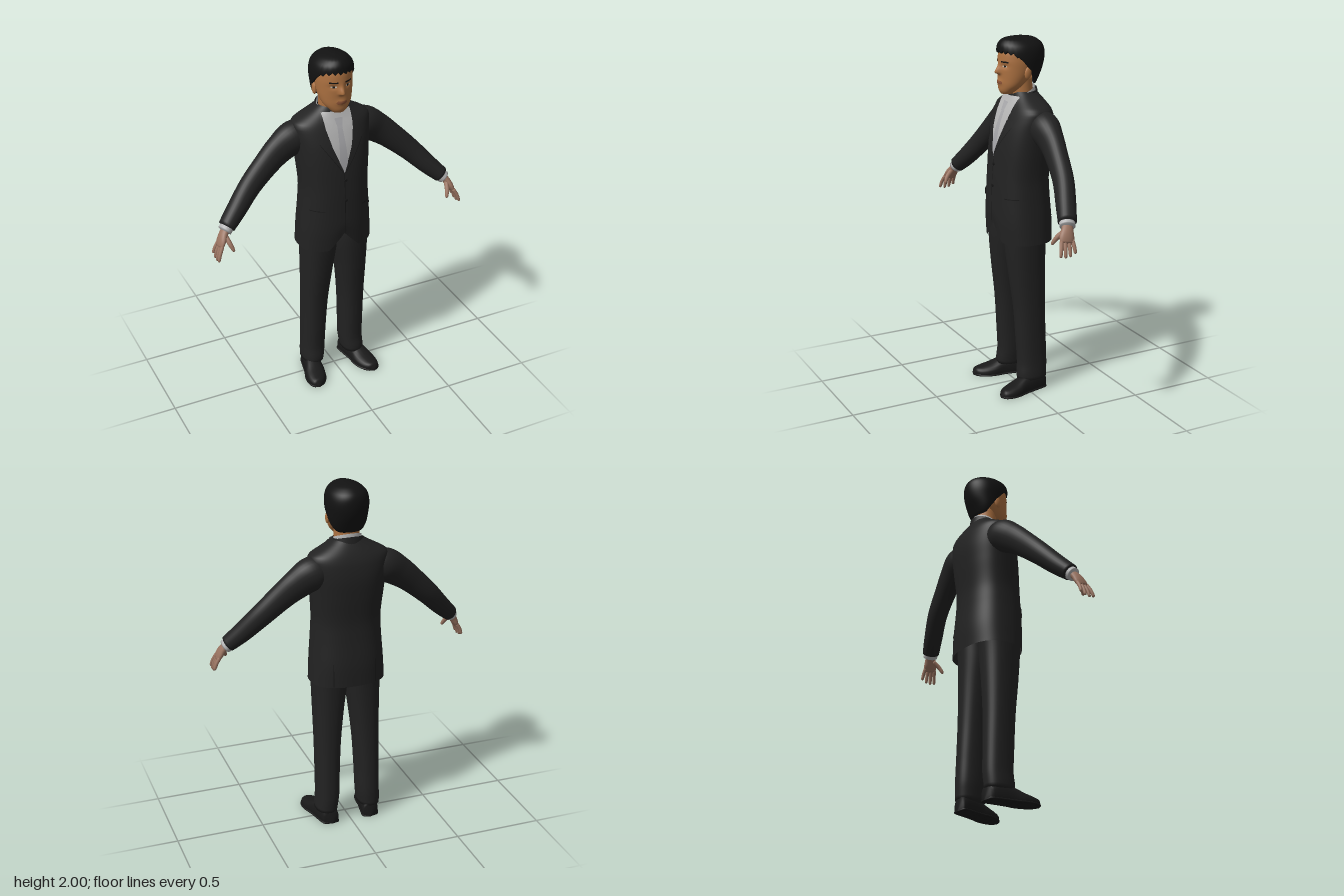
import * as THREE from 'three';

const mat = (name, color, side = THREE.FrontSide) => {
  const m = new THREE.MeshStandardMaterial({ color, side });
  m.name = name;
  return m;
};

// Smooth interpolation of rows keyed by their first number
function curve(rows) {
  const slope = (i, c) => {
    const a = rows[Math.max(i - 1, 0)], b = rows[Math.min(i + 1, rows.length - 1)];
    return (b[c] - a[c]) / (b[0] - a[0]);
  };
  return (k) => {
    let i = 0;
    while (i < rows.length - 2 && k > rows[i + 1][0]) i++;
    const p = rows[i], q = rows[i + 1], h = q[0] - p[0];
    const t = Math.min(1, Math.max(0, (k - p[0]) / h)), t2 = t * t, t3 = t2 * t;
    return p.map((v, c) => (2 * t3 - 3 * t2 + 1) * v + (t3 - 2 * t2 + t) * h * slope(i, c)
      + (3 * t2 - 2 * t3) * q[c] + (t3 - t2) * h * slope(i + 1, c));
  };
}

// Grid surface from f(u, v); u runs counter-clockwise, v runs up
function surface(nu, nv, f, wrap = false) {
  const pos = [], idx = [], cols = wrap ? nu : nu + 1;
  for (let j = 0; j <= nv; j++) for (let i = 0; i < cols; i++) pos.push(...f(i / nu, j / nv, j));
  for (let j = 0; j < nv; j++) for (let i = 0; i < nu; i++) {
    const a = j * cols + i, b = j * cols + (i + 1) % cols;
    idx.push(a, b, b + cols, a, b + cols, a + cols);
  }
  const g = new THREE.BufferGeometry();
  g.setAttribute('position', new THREE.Float32BufferAttribute(pos, 3));
  g.setIndex(idx);
  g.computeVertexNormals();
  return g;
}

function mirrored(g) {
  const m = g.clone().scale(-1, 1, 1), a = m.index.array;
  for (let i = 0; i < a.length; i += 3) [a[i], a[i + 1]] = [a[i + 1], a[i]];
  m.computeVertexNormals();
  return m;
}

const spow = (v, n) => Math.sign(v) * Math.abs(v) ** (2 / n);

// Point on a horizontal section; row = [y, halfWidth, zFront, zBack, centreX]
function ringPoint([y, hw, zf, zb, cx = 0], a, n = 2, k = 1) {
  return [cx + k * hw * spow(Math.sin(a), n), y, (zf + zb) / 2 + k * (zf - zb) / 2 * spow(Math.cos(a), n)];
}

// Upright loft, with optional closed ends and a vertex rule
function column(rows, { n = 2, nu = 40, nv = 40, cap = true, rule = (p) => p } = {}) {
  const at = curve(rows), y0 = rows[0][0], y1 = rows[rows.length - 1][0];
  return surface(nu, nv, (u, v, j) =>
    rule(ringPoint(at(y0 + (y1 - y0) * v), u * Math.PI * 2, n, cap && (j === 0 || j === nv) ? 0.01 : 1), v), true);
}

// Tube along rows [t, x, y, z, radius toward z, radius across]
function limb(rows, nu = 16, nv = 24) {
  const at = curve(rows), end = rows[rows.length - 1][0];
  const point = (t) => new THREE.Vector3(...at(t).slice(1, 4));
  return surface(nu, nv, (u, v, j) => {
    const t = v * end, r = at(t), c = point(t), k = j === 0 || j === nv ? 0.01 : 1;
    const T = point(Math.min(end, t + 0.02)).sub(point(Math.max(0, t - 0.02))).normalize();
    const N = new THREE.Vector3(0, 0, 1).addScaledVector(T, -T.z).normalize();
    const B = T.clone().cross(N), a = u * Math.PI * 2;
    return c.addScaledVector(N, k * r[4] * Math.cos(a)).addScaledVector(B, k * r[5] * Math.sin(a)).toArray();
  }, true);
}

// Thin panel lying on a body surface z(x, y), between left and right edge curves
const panel = (z, y0, y1, left, right, lift, back = false) => surface(8, 14, (u, v) => {
  const y = y0 + (y1 - y0) * v, w = back ? 1 - u : u, x = left(y) + (right(y) - left(y)) * w;
  return [x, y, z(x, y) + (back ? -lift : lift)];
});

const ramp = (...pts) => { // straight edge through [y, x] points
  return (y) => {
    let i = 0;
    while (i < pts.length - 2 && y > pts[i + 1][0]) i++;
    const [a, b] = [pts[i], pts[i + 1]];
    return a[1] + (b[1] - a[1]) * (y - a[0]) / (b[0] - a[0]);
  };
};

export function createModel() {
  const D = THREE.DoubleSide;
  const suit = mat('suit cloth', 0x222222, D), trim = mat('suit trim', 0x171717, D);
  const hairMat = mat('hair', 0x121212, D), leather = mat('shoe leather', 0x191919);
  const skin = mat('face skin', 0xab7040, D), handSkin = mat('hand skin', 0x9a7461);
  const shirt = mat('shirt', 0xb4b4b4, D), tieMat = mat('tie', 0xa6a6a9, D);
  const lipMat = mat('lips', 0x8c5336, D), eyeMat = mat('eye white', 0xbfb2a2, D);
  const model = new THREE.Group();
  const add = (name, g, m) => {
    const mesh = new THREE.Mesh(g, m);
    mesh.name = name;
    model.add(mesh);
  };
  const pair = (name, g, m) => { add(name + 'Left', g, m); add(name + 'Right', mirrored(g), m); };

  // Jacket body with a cutaway front hem
  const torso = [[0.88, 0.213, 0.138, -0.18], [1, 0.206, 0.146, -0.181], [1.15, 0.195, 0.143, -0.17],
    [1.25, 0.191, 0.138, -0.167], [1.4, 0.203, 0.124, -0.181], [1.5, 0.213, 0.105, -0.186], [1.58, 0.222, 0.077, -0.176],
    [1.62, 0.215, 0.058, -0.162], [1.65, 0.165, 0.043, -0.147], [1.68, 0.11, 0.03, -0.128], [1.705, 0.075, 0.02, -0.11]];
  add('jacketBody', column(torso, { n: 2.4, nu: 72, nv: 60, cap: false, rule: ([x, y, z], v) =>
    [x, y + (z > 0 ? 0.1 * Math.max(0, 1 - Math.abs(x) / 0.09) * Math.max(0, 1 - v * 4) : 0), z] }), suit);
  const torsoAt = curve(torso);
  const onTorso = (sign) => (x, y) => {
    const [, hw, zf, zb] = torsoAt(y);
    return (zf + zb) / 2 + sign * (zf - zb) / 2 * Math.max(0, 1 - Math.abs(x / hw) ** 2.4) ** (1 / 2.4);
  };
  const chest = onTorso(1), backZ = onTorso(-1);

  // Shirt front, tie and lapels
  const vee = ramp([1.355, 0], [1.5, 0.056], [1.6, 0.08], [1.68, 0.085]);
  add('shirtFront', panel(chest, 1.355, 1.68, (y) => -vee(y), vee, 0.004), shirt);
  const tieEdge = (y) => Math.min(vee(y), ramp([1.36, 0.027], [1.6, 0.014])(y));
  add('tieBlade', panel(chest, 1.357, 1.605, (y) => -tieEdge(y), tieEdge, 0.008), tieMat);
  const knot = ramp([1.6, 0.014], [1.65, 0.024]);
  add('tieKnot', panel(chest, 1.6, 1.65, (y) => -knot(y), knot, 0.013), tieMat);
  pair('lapel', panel(chest, 1.355, 1.565, vee, ramp([1.355, 0.004], [1.53, 0.125], [1.565, 0.118]), 0.009), suit);
  pair('upperLapel', panel(chest, 1.572, 1.685, vee, ramp([1.572, 0.12], [1.685, 0.088]), 0.009), suit);
  pair('lapelEdge', panel(chest, 1.36, 1.53, ramp([1.36, 0.006], [1.53, 0.122]), ramp([1.36, 0.01], [1.53, 0.126]), 0.01), trim);
  pair('shirtCollarPoint', panel(chest, 1.605, 1.685, ramp([1.605, 0.05], [1.665, 0.012], [1.685, 0.03]),
    ramp([1.605, 0.056], [1.685, 0.08]), 0.014), shirt);

  // Front closing, buttons, pocket flaps and rear vents
  add('frontClosing', panel(chest, 0.99, 1.355, () => -0.002, () => 0.002, 0.004), trim);
  for (const y of [1.31, 1.19]) {
    const b = new THREE.CylinderGeometry(0.008, 0.008, 0.006, 12).rotateX(Math.PI / 2);
    add('button', b.translate(0.006, y, chest(0, y) + 0.004), trim);
  }
  pair('pocketFlap', panel(chest, 1.1, 1.135, () => 0.115, () => 0.178, 0.006), suit);
  pair('pocketSeam', panel(chest, 1.135, 1.14, () => 0.113, () => 0.18, 0.006), trim);
  pair('rearVent', panel(backZ, 0.885, 1.02, () => 0.12, () => 0.124, 0.004, true), trim);

  // Standing collars around the neck
  const collar = (hw, rz, base, height, from, to) => surface(40, 4, (u, v) => {
    const a = from + (to - from) * u, k = 1 - 0.08 * v;
    return [k * hw * Math.sin(a), base - 0.03 * Math.cos(a) + height * v, -0.037 + k * rz * Math.cos(a)];
  });
  add('shirtCollar', collar(0.085, 0.076, 1.66, 0.046, 0, Math.PI * 2), shirt);
  add('jacketCollar', collar(0.096, 0.09, 1.645, 0.046, 1.15, Math.PI * 2 - 1.15), suit);

  // Sleeves, cuffs and hands
  pair('sleeve', limb([[0, 0.12, 1.53, -0.065, 0.07, 0.075], [1, 0.205, 1.525, -0.066, 0.083, 0.094],
    [2, 0.29, 1.475, -0.062, 0.066, 0.084], [3, 0.37, 1.412, -0.05, 0.058, 0.073], [4, 0.48, 1.312, -0.028, 0.055, 0.063],
    [5, 0.58, 1.21, 0.012, 0.053, 0.054], [6, 0.66, 1.135, 0.048, 0.049, 0.044]], 28, 48), suit);
  pair('cuff', limb([[0, 0.64, 1.15, 0.04, 0.042, 0.038], [1, 0.671, 1.121, 0.053, 0.042, 0.036]], 24, 6), shirt);
  pair('palm', limb([[0, 0.652, 1.14, 0.045, 0.027, 0.02], [1, 0.676, 1.112, 0.058, 0.033, 0.021],
    [2, 0.694, 1.08, 0.07, 0.041, 0.019], [3, 0.709, 1.048, 0.078, 0.038, 0.012]], 20, 16), handSkin);
  [-0.03, -0.01, 0.01, 0.03].forEach((o, i) => {
    const len = [0.82, 0.97, 1, 0.92][i];
    pair('finger', limb([[0, 0.699, 1.07, 0.074 + o, 0.011, 0.011], [1, 0.721, 1.07 - 0.045 * len, 0.08 + o * 1.25, 0.01, 0.01],
      [2, 0.731, 1.07 - 0.08 * len, 0.083 + o * 1.4, 0.008, 0.008], [2.3, 0.733, 1.07 - 0.089 * len, 0.083 + o * 1.42, 0.004, 0.004]],
    10, 14), handSkin);
  });
  pair('thumb', limb([[0, 0.672, 1.11, 0.07, 0.014, 0.014], [1, 0.66, 1.075, 0.108, 0.013, 0.013],
    [2, 0.648, 1.042, 0.128, 0.009, 0.009], [2.3, 0.645, 1.034, 0.132, 0.004, 0.004]], 10, 14), handSkin);

  // Trouser legs
  pair('trouserLeg', column([[0.05, 0.06, 0.048, -0.118, 0.13], [0.1, 0.064, 0.052, -0.122, 0.127],
    [0.16, 0.066, 0.046, -0.125, 0.122], [0.3, 0.068, 0.053, -0.121, 0.119], [0.5, 0.074, 0.066, -0.116, 0.114],
    [0.7, 0.086, 0.09, -0.118, 0.105], [0.88, 0.1, 0.107, -0.125, 0.095], [1.02, 0.1, 0.11, -0.14, 0.095]], { n: 2.3, nv: 50 }), suit);

  // Shoes: flat-bottomed arches from heel to turned-out toe, over a thin sole
  const shoeAt = curve([[-0.125, 0.025, 0.06], [-0.11, 0.044, 0.085], [-0.05, 0.05, 0.105], [0.02, 0.052, 0.09],
    [0.08, 0.06, 0.064], [0.13, 0.054, 0.05], [0.17, 0.033, 0.04], [0.185, 0.006, 0.026]]);
  const shoe = (grow, height) => surface(24, 32, (u, v, j) => {
    const [z, w, h] = shoeAt(-0.125 + 0.31 * v), a = -u * Math.PI * 2, k = j === 0 || j === 32 ? 0.02 : 1;
    const top = height || h, y = Math.max(0, top * (0.3 + 0.7 * spow(Math.sin(a), 2.4)));
    return [0.142 + z * 0.2 + k * (w + grow) * spow(Math.cos(a), 2.4), y * k, z];
  }, true);
  const upright = (g) => { // make the faces point outward
    const a = g.index.array;
    for (let i = 0; i < a.length; i += 3) [a[i], a[i + 1]] = [a[i + 1], a[i]];
    g.computeVertexNormals();
    return g;
  };
  const facing = (g) => { // signed volume tells which way the shell faces
    const p = g.attributes.position, A = new THREE.Vector3(), B = A.clone(), C = A.clone();
    let vol = 0;
    for (let i = 0; i < g.index.count; i += 3) {
      [A, B, C].forEach((q, k) => q.fromBufferAttribute(p, g.index.getX(i + k)));
      vol += A.dot(B.clone().cross(C));
    }
    return vol < 0 ? upright(g) : g;
  };
  pair('shoe', facing(shoe(0, 0)), leather);
  pair('shoeSole', facing(shoe(0.004, 0.016)), trim);

  // Neck and head, with nose, eye sockets and mouth raised by a rule
  add('neck', column([[1.62, 0.08, 0.02, -0.105], [1.7, 0.071, 0.028, -0.095], [1.8, 0.07, 0.03, -0.09]], { nv: 12 }), skin);
  const bell = (d, w) => Math.exp(-((d / w) ** 2));
  const relief = (x, y) => 0.028 * bell(x, 0.015) * bell(y - 1.812, y > 1.812 ? 0.032 : 0.011)
    - 0.008 * bell(Math.abs(x) - 0.04, 0.02) * bell(y - 1.848, 0.014)
    + 0.006 * bell(x, 0.026) * bell(y - 1.758, 0.015);
  const head = [[1.69, 0.032, 0.082, 0.03], [1.71, 0.052, 0.094, 0], [1.74, 0.077, 0.097, -0.04], [1.78, 0.092, 0.097, -0.08],
    [1.83, 0.101, 0.098, -0.12], [1.88, 0.104, 0.097, -0.14], [1.93, 0.098, 0.085, -0.14], [1.97, 0.07, 0.05, -0.11], [1.985, 0.02, 0, -0.06]];
  add('head', column(head, { nu: 88, nv: 80, rule: ([x, y, z]) => [x, y, z > 0 ? z + relief(x, y) : z] }), skin);
  const headAt = curve(head);
  const face = (x, y) => {
    const [, hw, zf, zb] = headAt(y);
    return (zf + zb) / 2 + (zf - zb) / 2 * Math.sqrt(Math.max(0, 1 - (x / hw) ** 2)) + relief(x, y);
  };
  pair('eyeWhite', panel(face, 1.842, 1.851, () => 0.026, () => 0.055, 0.002), eyeMat);
  pair('iris', panel(face, 1.841, 1.852, () => 0.035, () => 0.046, 0.003), hairMat);
  pair('eyebrow', panel(face, 1.866, 1.874, () => 0.02, () => 0.064, 0.002), hairMat);
  const lip = (y) => 0.03 - 90 * (y - 1.757) ** 2;
  add('lips', panel(face, 1.748, 1.766, (y) => -lip(y), lip, 0.002), lipMat);
  pair('ear', new THREE.SphereGeometry(1, 16, 12).scale(0.011, 0.034, 0.02).rotateX(-0.15).translate(0.104, 1.812, -0.022), skin);

  // Hair cap: its lower edge drops from the fringe to the nape
  const hairAt = curve([[1.73, 0.075, 0, -0.1], [1.78, 0.1, 0.03, -0.125], [1.84, 0.113, 0.08, -0.152], [1.9, 0.118, 0.1, -0.163],
    [1.95, 0.106, 0.101, -0.154], [1.98, 0.076, 0.082, -0.122], [1.993, 0.045, 0.055, -0.088], [2, 0.012, 0.01, -0.04]]);
  const hem = curve([[0, 1.922], [40, 1.918], [62, 1.895], [84, 1.838], [98, 1.79], [120, 1.75], [180, 1.742]]);
  add('hair', surface(96, 30, (u, v, j) => {
    const a = u * Math.PI * 2, deg = Math.abs(u > 0.5 ? u - 1 : u) * 360;
    const low = hem(deg)[1] + (deg < 60 ? 0.008 * Math.sin(a * 24) : 0);
    const s = Math.max(0, j - 1) / 29;
    return ringPoint(hairAt(low + (2 - low) * Math.sin(s * Math.PI / 2)), a, 2, j === 0 ? 0.86 : j === 30 ? 0.01 : 1);
  }, true), hairMat);

  return model;
}
